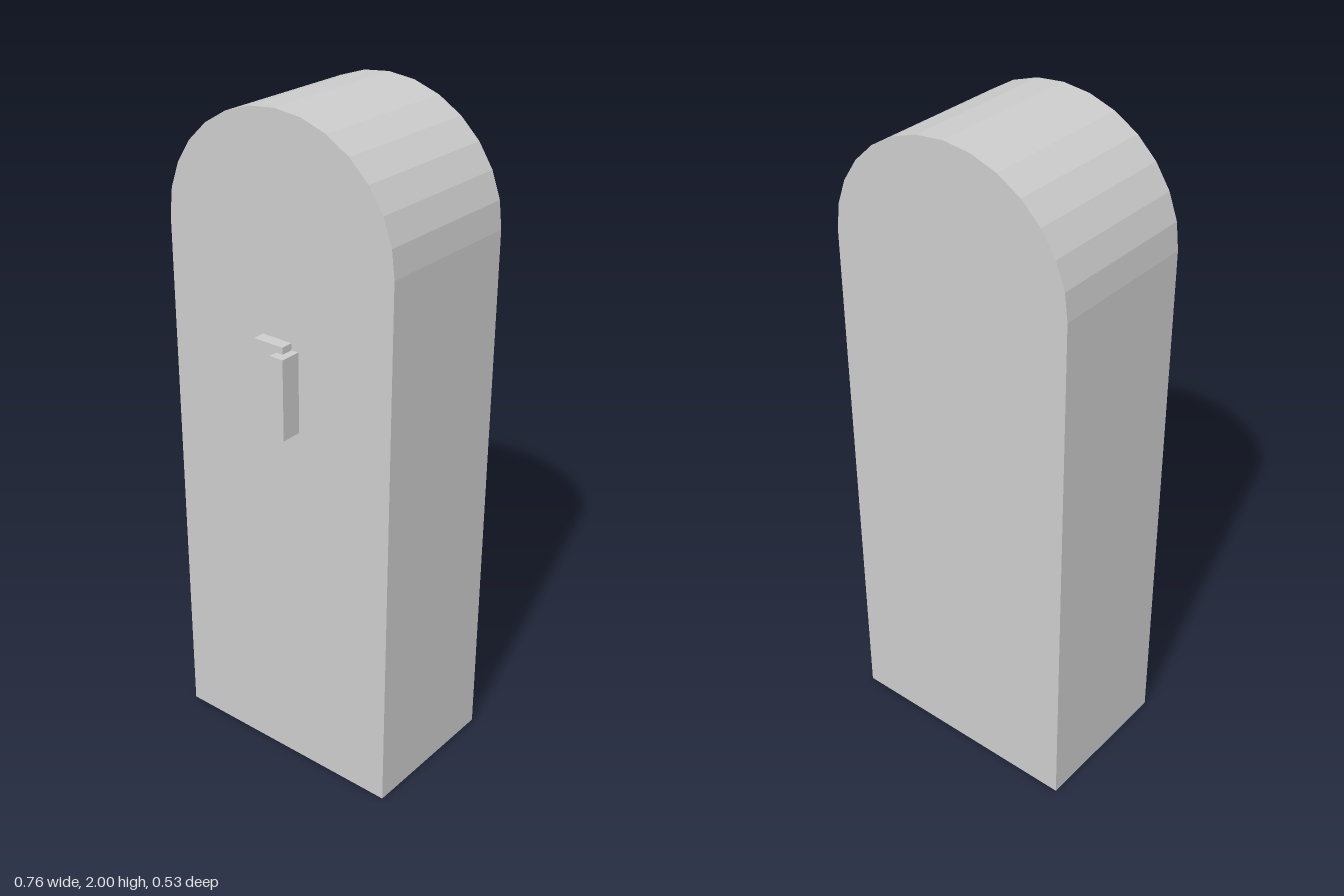
import * as THREE from 'three';

const HALF_WIDTH = 0.38, SPRING = 1.64, RISE = 0.36;
const BACK = -0.267, FRONT = 0.203, ARCH_SEGMENTS = 14;

export function createModel() {
  const model = new THREE.Group();
  model.name = 'archedDoor';
  const grey = new THREE.MeshStandardMaterial({ color: 0xcccccc });
  grey.name = 'plain grey';

  // Round-topped slab with a faceted arch
  const outline = new THREE.Shape();
  outline.moveTo(-HALF_WIDTH, 0);
  outline.lineTo(HALF_WIDTH, 0);
  for (let i = 0; i <= ARCH_SEGMENTS; i++) {
    const a = (Math.PI * i) / ARCH_SEGMENTS;
    outline.lineTo(HALF_WIDTH * Math.cos(a), SPRING + RISE * Math.sin(a));
  }
  outline.closePath();
  const slabGeometry = new THREE.ExtrudeGeometry(outline, { depth: FRONT - BACK, bevelEnabled: false });
  slabGeometry.translate(0, 0, BACK);
  const slab = new THREE.Mesh(slabGeometry, grey);
  slab.name = 'doorSlab';
  model.add(slab);

  // Handle: a short crossbar and a taller grip standing on the front face
  const handle = new THREE.Group();
  handle.name = 'handle';
  const addBar = (name, x0, x1, y0, y1, z1) => {
    const bar = new THREE.Mesh(new THREE.BoxGeometry(x1 - x0, y1 - y0, z1 - FRONT), grey);
    bar.position.set((x0 + x1) / 2, (y0 + y1) / 2, (FRONT + z1) / 2);
    bar.name = name;
    handle.add(bar);
  };
  addBar('handleCrossbar', -0.052, 0.048, 1.34, 1.38, 0.24);
  addBar('handleGrip', 0.026, 0.071, 1.12, 1.36, 0.267);
  model.add(handle);

  return model;
}
